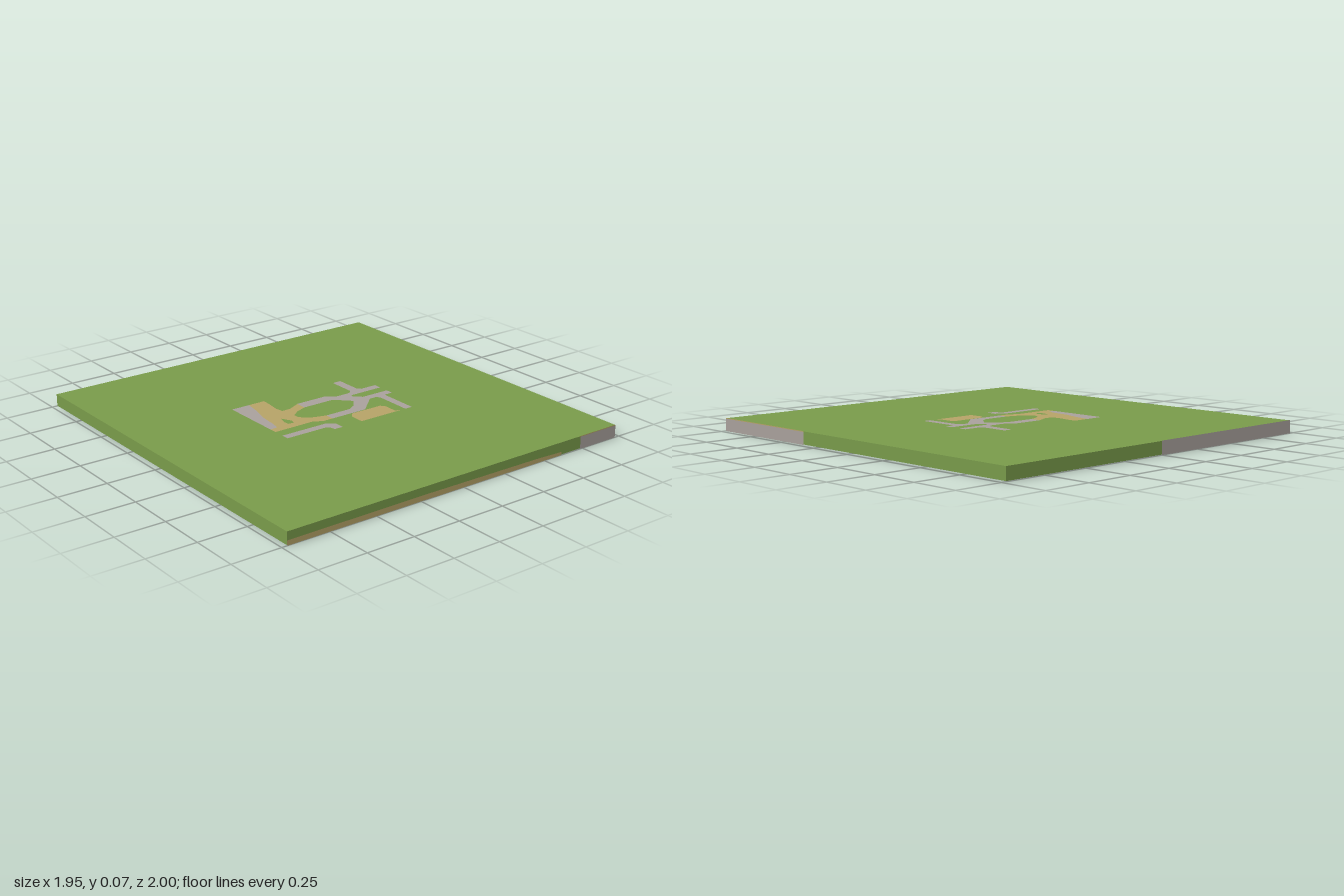
import * as THREE from 'three';

const W = 0.972, D = 0.998, H = 0.066, GAP = 0.002;

export function createModel() {
  const model = new THREE.Group();
  const mat = (name, color) => new THREE.MeshStandardMaterial({ name, color });
  const grass = mat('grass green', 0x789a4a);
  const paving = mat('paving grey', 0xa8a09b);
  const sand = mat('sand tan', 0xb5a266);

  // Turns flat outline coordinates onto each face of the slab
  const faces = {
    top: { flip: [1, -1], turn: g => g.rotateX(-Math.PI / 2).translate(0, H, 0) },
    bottom: { flip: [1, 1], turn: g => g.rotateX(Math.PI / 2) },
    front: { flip: [1, 1], turn: g => g.translate(0, 0, D + GAP) },
    back: { flip: [-1, 1], turn: g => g.rotateY(Math.PI).translate(0, 0, -D - GAP) },
    right: { flip: [-1, 1], turn: g => g.rotateY(Math.PI / 2).translate(W + GAP, 0, 0) },
  };
  const patch = (name, face, material, points, hole) => {
    const { flip, turn } = faces[face];
    const place = list => list.map(([a, b]) => new THREE.Vector2(a * flip[0], b * flip[1]));
    const shape = new THREE.Shape(place(points));
    if (hole) shape.holes.push(new THREE.Path(place(hole)));
    const mesh = new THREE.Mesh(turn(new THREE.ShapeGeometry(shape)), material);
    mesh.name = name;
    model.add(mesh);
  };
  const rect = (a0, a1, b0, b1) => [[a0, b0], [a1, b0], [a1, b1], [a0, b1]];

  // Ground slab
  const slab = new THREE.Mesh(new THREE.BoxGeometry(2 * W, H - 2 * GAP, 2 * D), grass);
  slab.name = 'groundSlab';
  slab.position.y = H / 2;
  model.add(slab);

  // Paved yard and the sandy ground beside it, x and z
  patch('pavedYard', 'top', paving, [
    [-0.386, -0.28], [-0.285, -0.28], [-0.3, -0.19], [-0.325, -0.1],
    [-0.335, 0], [-0.345, 0.045], [-0.386, 0.05],
  ]);
  patch('sandyGround', 'top', sand, [
    [-0.285, -0.28], [-0.195, -0.28], [-0.197, -0.23], [-0.207, -0.16], [-0.2, -0.115],
    [-0.155, -0.115], [-0.085, -0.147], [-0.085, -0.088], [-0.143, -0.066], [-0.185, -0.034],
    [-0.185, 0], [-0.143, 0.04], [-0.063, 0.064], [-0.063, 0.114], [-0.12, 0.114],
    [-0.164, 0.088], [-0.386, 0.09], [-0.386, 0.05], [-0.345, 0.045], [-0.335, 0],
    [-0.325, -0.1], [-0.3, -0.19],
  ], [[-0.265, -0.035], [-0.238, 0.015], [-0.245, 0.045], [-0.275, 0.042], [-0.278, 0.01]]);

  // Loop road with its branches
  patch('loopRoad', 'top', paving, [
    [-0.085, -0.149], [0.09, -0.149], [0.132, -0.114], [0.217, -0.114], [0.238, -0.135],
    [0.238, -0.28], [0.286, -0.28], [0.286, -0.146], [0.302, -0.125], [0.392, -0.125],
    [0.392, -0.082], [0.206, -0.082], [0.201, -0.066], [0.238, -0.029], [0.392, -0.029],
    [0.392, 0.013], [0.344, 0.013], [0.344, 0.227], [0.302, 0.227], [0.302, 0.029],
    [0.286, 0.013], [0.249, 0.013], [0.138, 0.114], [-0.063, 0.114], [-0.063, 0.064],
    [0.08, 0.064], [0.122, 0.04], [0.164, -0.013], [0.122, -0.056], [0.08, -0.088],
    [-0.085, -0.088],
  ]);
  patch('sidePath', 'top', paving, [
    [-0.386, 0.146], [-0.132, 0.146], [-0.09, 0.178], [-0.09, 0.23], [-0.138, 0.23],
    [-0.143, 0.204], [-0.159, 0.188], [-0.386, 0.188],
  ]);
  patch('sandPad', 'top', sand, [
    [0.027, 0.227], [0.027, 0.15], [0.053, 0.119], [0.228, 0.119],
    [0.246, 0.14], [0.246, 0.215], [0.275, 0.227],
  ]);

  // Broad paved band under the slab
  patch('undersideBand', 'bottom', paving, [
    [W, 0.35], [W, D], [0.56, D], [-0.49, -0.38], [-W, -0.4],
    [-W, -D], [0.436, -D], [0.25, -0.77],
  ]);

  // Exposed layers on the slab's edges
  const top = H - 0.004;
  patch('frontSandLayer', 'front', sand, [
    [-W, 0], [0.61, 0], [0.61, 0.016], [0.45, 0.021], [-0.2, 0.026], [-W, 0.024],
  ]);
  patch('frontPavedEdge', 'front', paving, rect(0.735, W, 0, top));
  patch('frontSandRim', 'front', sand, rect(0.725, W, top, H));
  patch('rightPavedEdge', 'right', paving, rect(0.36, D, 0, top));
  patch('rightSandRim', 'right', sand, rect(0.36, D, top, H));
  patch('backPavedEdge', 'back', paving, rect(-W, 0, 0, H));

  return model;
}
